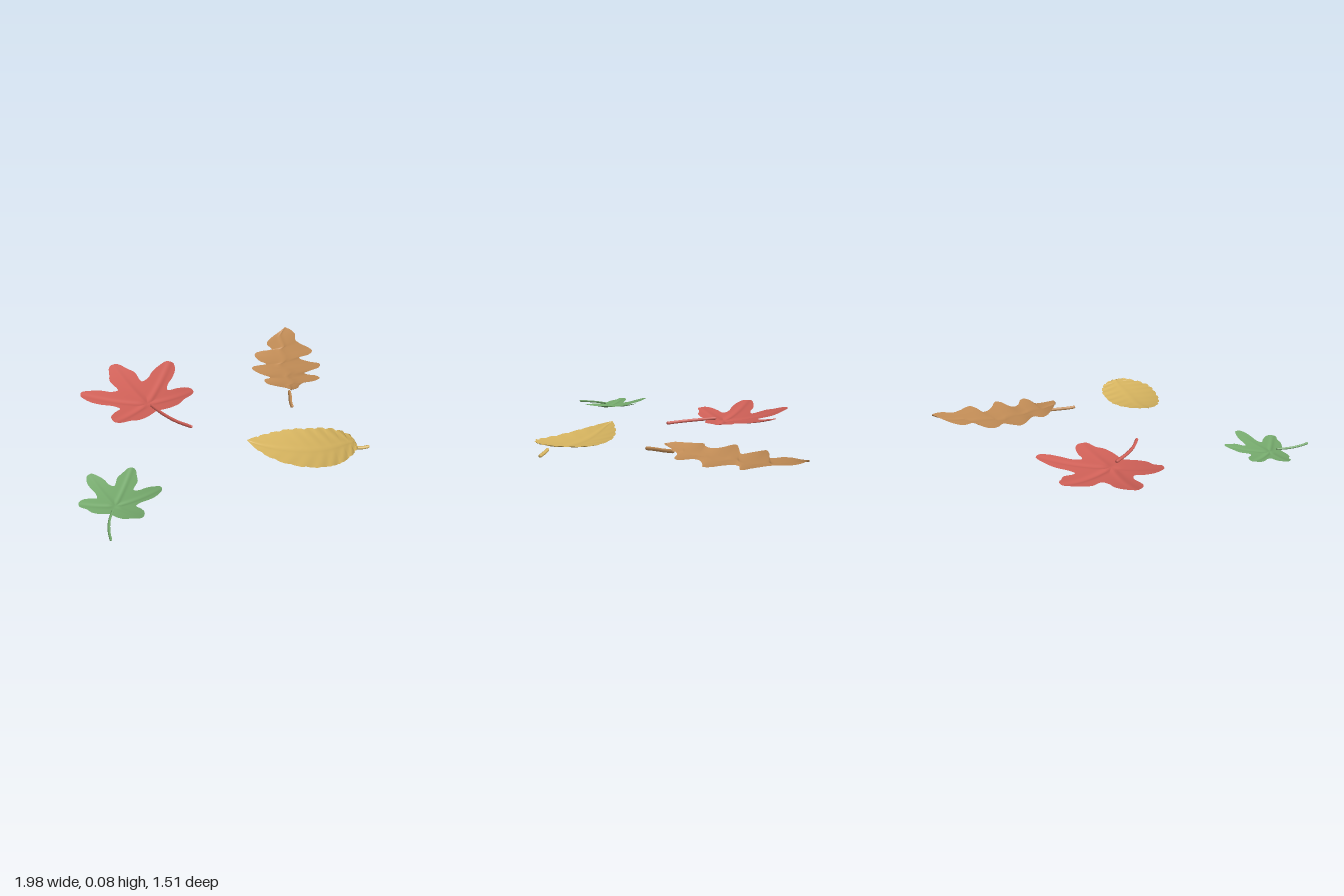
import * as THREE from 'three';
import { mergeVertices } from 'three/addons/utils/BufferGeometryUtils.js';

const mat = (name, color) => {
  const m = new THREE.MeshStandardMaterial({ color, side: THREE.DoubleSide });
  m.name = name;
  return m;
};

// Smooth sheet from rows of points: point(i/rows, j/cols) -> Vector3
function sheet(rows, cols, point) {
  const pos = [], index = [];
  for (let i = 0; i <= rows; i++)
    for (let j = 0; j <= cols; j++) pos.push(...point(i / rows, j / cols).toArray());
  for (let i = 0; i < rows; i++)
    for (let j = 0; j < cols; j++) {
      const a = i * (cols + 1) + j, d = a + cols + 1;
      index.push(a, a + 1, d + 1, a, d + 1, d);
    }
  let geo = new THREE.BufferGeometry();
  geo.setAttribute('position', new THREE.Float32BufferAttribute(pos, 3));
  geo.setIndex(index);
  geo = mergeVertices(geo, 1e-5);
  geo.computeVertexNormals();
  return geo;
}

function stem(points, radius, material) {
  const group = new THREE.Group();
  group.name = 'stem';
  const curve = new THREE.CatmullRomCurve3(points.map(p => new THREE.Vector3(...p)));
  group.add(new THREE.Mesh(new THREE.TubeGeometry(curve, 16, radius, 8), material));
  // Rounded ends
  for (const p of [points[0], points[points.length - 1]]) {
    const cap = new THREE.Mesh(new THREE.SphereGeometry(radius, 8, 6), material);
    cap.position.set(...p);
    group.add(cap);
  }
  return group;
}

// Half outline of the lobed leaf from base to tip: angle in degrees, radius
const LOBED = [
  [-88, .112], [-58, .165], [-43, .212], [-32, .24], [-25, .295], [-17, .31], [-7, .287],
  [2, .235], [11, .185], [21, .225], [23.5, .3], [27, .368], [33, .42], [39, .425],
  [45.5, .378], [52, .32], [57, .262], [67, .235], [73, .328], [79, .37], [85, .425]
];
const VEINS = [90, 36, 144, -19, 199];

function lobedBlade(scale, turn, material) {
  const polar = [...LOBED, [90, .442], ...[...LOBED].reverse().map(([a, r]) => [180 - a, r])];
  const rad = THREE.MathUtils.degToRad;
  const outline = new THREE.CatmullRomCurve3(
    polar.map(([a, r]) => new THREE.Vector3(r * Math.cos(rad(a)), 0, -r * Math.sin(rad(a)))),
    true, 'centripetal');
  const geo = sheet(220, 16, (u, v) => {
    const p = outline.getPoint(u).multiplyScalar(v);
    const r = p.length();
    // Bowl shape with a groove along each vein
    let groove = 0;
    for (const a of VEINS) {
      const cx = Math.cos(rad(a)), cz = -Math.sin(rad(a));
      if (p.x * cx + p.z * cz <= 0) continue;
      const d = p.x * cz - p.z * cx;
      groove = Math.max(groove, Math.exp(-((d / .022) ** 2)) * Math.min(1, r / .05));
    }
    p.y = .4 * r * r - .009 * groove * (1 - .5 * v);
    return p;
  });
  const blade = new THREE.Mesh(geo, material);
  blade.name = 'blade';
  blade.scale.setScalar(scale);
  blade.rotation.y = rad(turn);
  return blade;
}

// Long blade between two edges (x, z pairs from base to tip)
function longBlade(left, right, center, height, material) {
  const edge = pts => new THREE.CatmullRomCurve3(
    pts.map(([x, z]) => new THREE.Vector3(x, 0, z)), false, 'centripetal');
  const l = edge(left), r = edge(right);
  const geo = sheet(150, 20, (u, v) => {
    const p = l.getPoint(u).lerp(r.getPoint(u), v);
    const d = Math.hypot(p.x - center[0], p.z - center[1]);
    p.y = height(u, Math.abs(2 * v - 1), d);
    return p;
  });
  const blade = new THREE.Mesh(geo, material);
  blade.name = 'blade';
  return blade;
}

export function createModel() {
  const model = new THREE.Group();
  model.name = 'fallenLeaves';
  const red = mat('red leaf', 0xcf6057), green = mat('green leaf', 0x75a96c);
  const gold = mat('yellow leaf', 0xd4b25e), brown = mat('orange brown leaf', 0xc08b55);
  const leaf = (name, ...parts) => {
    const g = new THREE.Group();
    g.name = name;
    g.add(...parts);
    model.add(g);
  };

  // Large red lobed leaf
  const redBlade = lobedBlade(1, 11, red);
  redBlade.position.set(-.3, .012, -.32);
  leaf('redLeaf', redBlade, stem([[-.29, .026, -.265], [-.255, .022, -.15],
    [-.21, .02, -.05], [-.15, .02, .04]], .01, red));

  // Small green lobed leaf
  const greenBlade = lobedBlade(.625, -40.5, green);
  greenBlade.position.set(-.805, .01, .51);
  leaf('greenLeaf', greenBlade, stem([[-.83, .02, .55], [-.873, .02, .62],
    [-.9, .02, .7], [-.908, .02, .75]], .007, green));

  // Orange wavy-edged leaf
  const wavyRight = [[.58, 0], [.615, .012], [.67, -.035], [.72, -.065], [.8, -.055], [.845, -.07],
    [.84, -.105], [.797, -.155], [.797, -.185], [.855, -.2], [.925, -.205], [.95, -.235],
    [.9, -.3], [.867, -.365], [.88, -.387], [.955, -.387], [.995, -.408], [.99, -.44],
    [.957, -.525], [.952, -.57], [.985, -.64], [.98, -.685], [.952, -.728]];
  const wavyLeft = [[.58, 0], [.56, -.025], [.535, -.06], [.51, -.105], [.49, -.145], [.487, -.185],
    [.5, -.205], [.54, -.212], [.55, -.235], [.535, -.27], [.51, -.315], [.489, -.365],
    [.505, -.388], [.56, -.397], [.622, -.408], [.598, -.46], [.59, -.515], [.605, -.542],
    [.66, -.553], [.745, -.555], [.743, -.62], [.775, -.658], [.952, -.728]];
  leaf('wavyLeaf',
    longBlade(wavyLeft, wavyRight, [.745, -.345], (u, e, d) =>
      .012 + .33 * d * d - .004 * Math.exp(-((e / .12) ** 2)) +
      .005 * e * (1 + Math.sin(u * Math.PI * 8)), brown),
    stem([[.592, .022, -.035], [.567, .02, .02], [.54, .02, .07], [.525, .02, .112]], .011, brown));

  // Yellow oval leaf
  const ovalLeft = [[.645, .645], [.628, .69], [.565, .73], [.465, .757], [.375, .737],
    [.265, .672], [.16, .575], [.09, .465], [.065, .37]];
  const ovalRight = [[.645, .645], [.66, .57], [.63, .485], [.565, .415], [.48, .37],
    [.375, .332], [.25, .325], [.135, .345], [.065, .37]];
  // Small teeth along the edges
  const toothed = (pts, side) => {
    const c = new THREE.CatmullRomCurve3(pts.map(([x, z]) => new THREE.Vector3(x, 0, z)));
    return c.getPoints(48).map((p, i) => {
      const t = c.getTangent(i / 48), k = i % 4 === 1 && i > 4 && i < 45 ? -.007 : 0;
      return [p.x + side * t.z * k, p.z - side * t.x * k];
    });
  };
  leaf('ovalLeaf',
    longBlade(toothed(ovalLeft, 1), toothed(ovalRight, -1), [.37, .53], (u, e, d) =>
      .011 + .55 * d * d - .004 * Math.exp(-((e / .1) ** 2)) +
      .0025 * Math.sin((u - .1 * e) * Math.PI * 22) * e * (1 - u * u), gold),
    stem([[.63, .03, .65], [.66, .024, .657], [.69, .02, .664], [.722, .02, .668]], .01, gold));

  return model;
}
